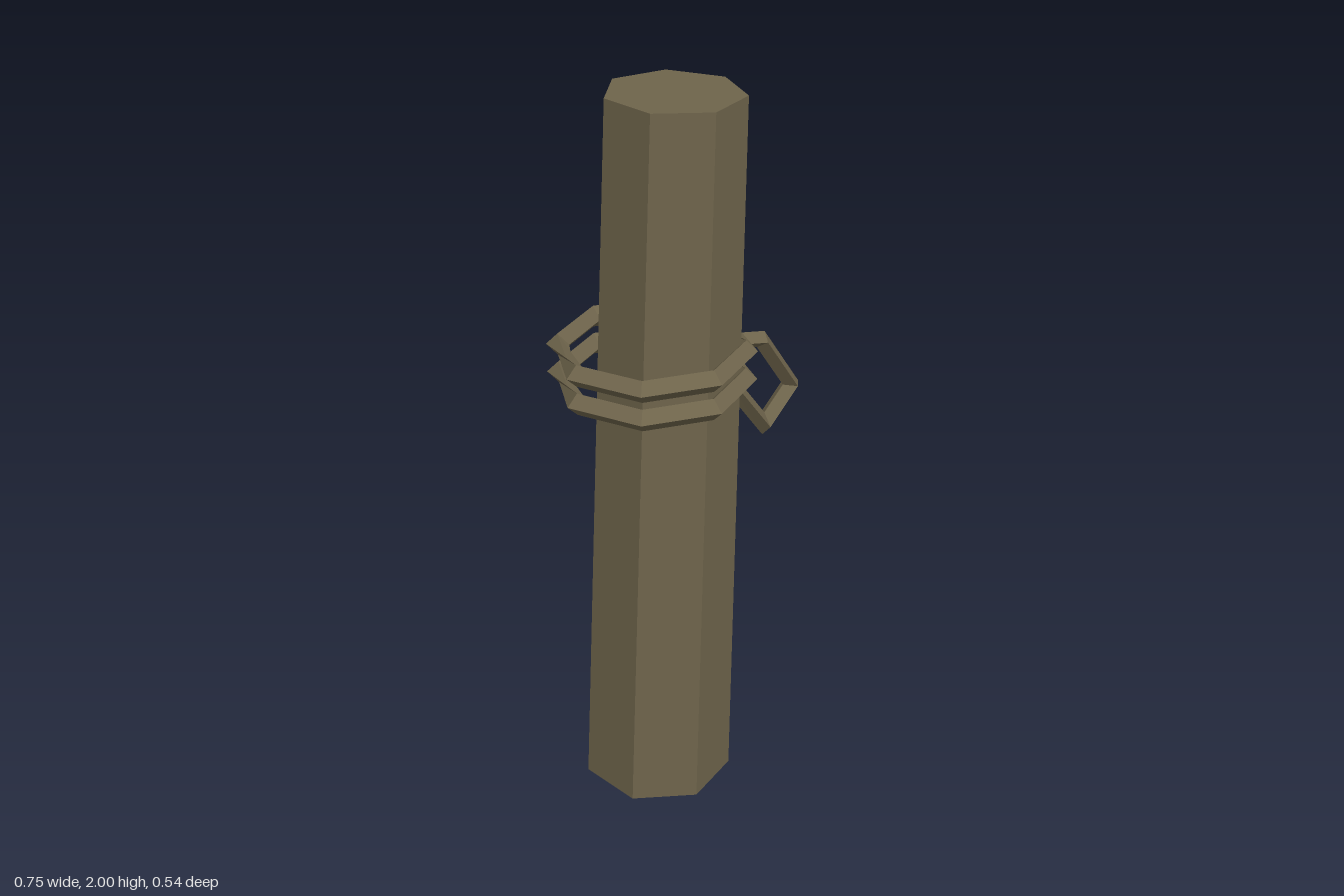
import * as THREE from 'three';

// Skin a list of cross-sections with flat faces; optionally close the path or cap the ends.
function loft(sections, { closed = false, caps = false } = {}) {
  const pos = [];
  const tri = (a, b, c) => pos.push(...a, ...b, ...c);
  const m = sections[0].length;
  const last = closed ? sections.length : sections.length - 1;
  for (let i = 0; i < last; i++) {
    const s = sections[i], e = sections[(i + 1) % sections.length];
    for (let k = 0; k < m; k++) {
      const j = (k + 1) % m;
      tri(s[k], s[j], e[j]);
      tri(s[k], e[j], e[k]);
    }
  }
  if (caps) {
    const s = sections[0], e = sections[sections.length - 1];
    for (let k = 1; k < m - 1; k++) {
      tri(s[0], s[k + 1], s[k]);
      tri(e[0], e[k], e[k + 1]);
    }
  }
  const g = new THREE.BufferGeometry();
  g.setAttribute('position', new THREE.Float32BufferAttribute(pos, 3));
  g.computeVertexNormals();
  return g;
}

// Seven-sided outline of the post, tilted slightly in height along x.
function postSection(cx, cz, r, y, slope) {
  return Array.from({ length: 7 }, (_, i) => {
    const a = THREE.MathUtils.degToRad(-5.5) - (i / 7) * Math.PI * 2;
    const x = cx + r * Math.cos(a);
    return [x, y - slope * (x - cx), cz + r * Math.sin(a)];
  });
}

// Eight-sided rope coil with a diamond section that flips over in two segments.
function ringGeometry(y) {
  const R = 0.24, t = 0.03;
  const sections = [];
  for (let i = 0; i < 8; i++) {
    const a = (i / 8) * Math.PI * 2;
    const at = (r, h) => [-0.105 + r * Math.cos(a), y + h, r * Math.sin(a)];
    const s = [at(R + t, 0), at(R, t), at(R - t, 0), at(R, -t)];
    sections.push(i >= 1 && i <= 4 ? [s[2], s[3], s[0], s[1]] : s);
  }
  return loft(sections, { closed: true });
}

// Loose rope end: a mitred diamond section along a bent path.
function loopGeometry(path, w, d) {
  const pts = path.map((p) => new THREE.Vector3(...p));
  const sections = pts.map((p, i) => {
    const dirA = pts[Math.max(i, 1)].clone().sub(pts[Math.max(i, 1) - 1]).setZ(0).normalize();
    const n = Math.min(i + 1, pts.length - 1);
    const dirB = pts[n].clone().sub(pts[n - 1]).setZ(0).normalize();
    const t = dirA.clone().add(dirB).normalize();
    const k = w / Math.max(0.5, t.dot(dirA));
    const nx = -t.y * k, ny = t.x * k;
    return [
      [p.x + nx, p.y + ny, p.z], [p.x, p.y, p.z + d],
      [p.x - nx, p.y - ny, p.z], [p.x, p.y, p.z - d],
    ];
  });
  return loft(sections, { caps: true });
}

export function createModel() {
  const group = new THREE.Group();
  const wood = new THREE.MeshStandardMaterial({ color: 0x6e644b, side: THREE.DoubleSide });
  wood.name = 'weathered brown';

  const add = (name, geometry) => {
    const mesh = new THREE.Mesh(geometry, wood);
    mesh.name = name;
    group.add(mesh);
  };

  // Leaning, tapering post
  add('post', loft([
    postSection(-0.1, 0.0, 0.208, 0.008, 0.037),
    postSection(-0.045, 0.022, 0.176, 1.995, 0.029),
  ], { caps: true }));

  // Two rope coils
  add('upperRopeRing', ringGeometry(1.331));
  add('lowerRopeRing', ringGeometry(1.252));

  // Hanging rope loop
  add('ropeLoop', loopGeometry([
    [0.08, 1.295, 0.025], [0.232, 1.263, 0.044], [0.347, 1.094, 0.044],
    [0.249, 1.002, 0.044], [0.08, 1.235, 0.03],
  ], 0.022, 0.029));

  return group;
}
